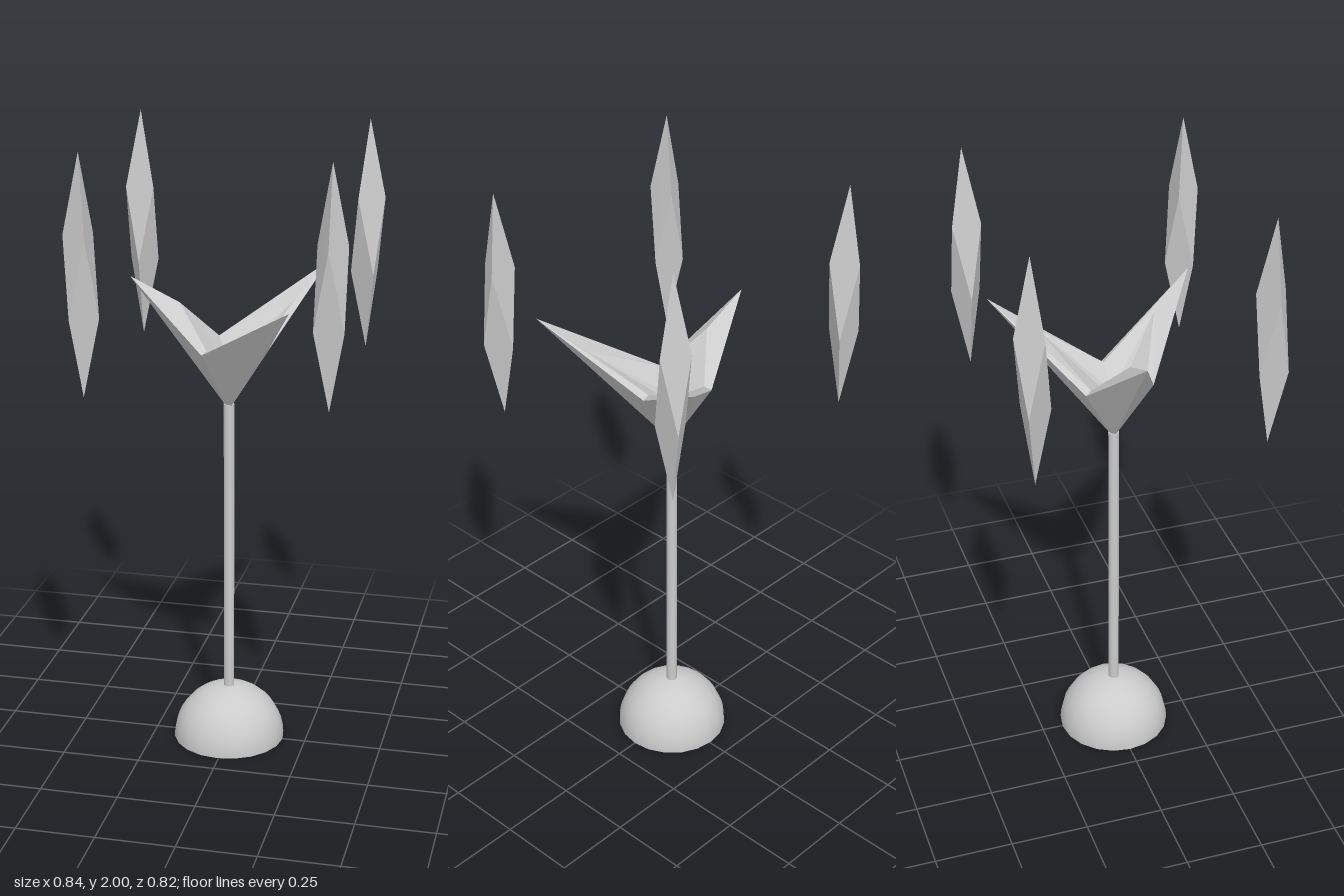
import * as THREE from 'three';

const CX = -0.005; // axis of base, stem and cup

const smooth = () => new THREE.MeshStandardMaterial({ color: 0xcccccc, side: THREE.DoubleSide });
const faceted = () => new THREE.MeshStandardMaterial({ color: 0xcccccc, flatShading: true, side: THREE.DoubleSide });

function add(parent, name, geometry, material) {
  const mesh = new THREE.Mesh(geometry, material);
  mesh.name = name;
  parent.add(mesh);
  return mesh;
}

// Unshared triangles from a list of corner triples
function facets(triangles) {
  const g = new THREE.BufferGeometry();
  g.setAttribute('position', new THREE.Float32BufferAttribute(triangles.flat(2), 3));
  g.computeVertexNormals();
  return g;
}

// Three-pointed cup: pointed arms, sloping rim and shallow bowl
function cupGeometry() {
  const tips = [[0.247, 1.545, -0.328], [-0.32, 1.545, 0], [0.247, 1.545, 0.328]];
  const innerTips = [[0.17, 1.455, -0.19], [-0.162, 1.47, 0], [0.17, 1.455, 0.19]];
  // Three points around the axis, on the notches between the arms
  const ring = (r, y) => [4, 8, 12].map((k) => {
    const a = (k * Math.PI) / 6;
    return [CX + r * Math.cos(a), y, -r * Math.sin(a)];
  });
  const notch = ring(0.125, 1.335), innerNotch = ring(0.102, 1.345), floor = ring(0.018, 1.29);
  const bottom = [CX, 1.13, 0];
  const tris = [[floor[0], floor[1], floor[2]]];
  for (let i = 0; i < 3; i++) {
    const p = (i + 2) % 3;
    const T = tips[i], t = innerTips[i];
    const A = notch[p], B = notch[i], a = innerNotch[p], b = innerNotch[i];
    tris.push(
      [A, bottom, T], [T, bottom, B],                             // outside of the arm
      [A, T, t], [A, t, a], [T, B, b], [T, b, t],                 // rim
      [t, b, floor[i]], [t, floor[i], floor[p]], [t, floor[p], a] // bowl
    );
  }
  return facets(tris);
}

// Long crystal: a cube stretched along its diagonal
function crystalGeometry() {
  const r = 0.053, h = 0.37, yr = 0.123;
  const top = [0, h, 0], base = [0, -h, 0];
  const corner = (k) => {
    const a = (k * Math.PI) / 3;
    return [r * Math.cos(a), k % 2 ? -yr : yr, -r * Math.sin(a)];
  };
  const tris = [];
  for (let k = 0; k < 6; k += 2) {
    const u = corner(k), l = corner(k + 1), u2 = corner(k + 2), l2 = corner(k + 3);
    tris.push([top, u, l], [top, l, u2], [base, u2, l], [base, l2, u2]);
  }
  return facets(tris);
}

export function createModel() {
  const model = new THREE.Group();
  model.name = 'standWithCrystals';

  // Hollow half-sphere foot
  add(model, 'domeBase', new THREE.SphereGeometry(0.181, 20, 10, 0, Math.PI * 2, 0, Math.PI / 2), smooth())
    .position.set(CX, 0, -0.001);

  add(model, 'stem', new THREE.CylinderGeometry(0.017, 0.017, 0.98, 16), smooth())
    .position.set(CX, 0.66, 0);

  add(model, 'pointedCup', cupGeometry(), faceted());

  // Four floating crystals, each a quarter turn from the next
  const crystals = new THREE.Group();
  crystals.name = 'crystals';
  const shape = crystalGeometry();
  [[0.368, -0.358], [-0.376, -0.36], [-0.367, 0.365], [0.373, 0.349]].forEach(([x, z], i) => {
    const c = add(crystals, 'crystal', shape, faceted());
    c.position.set(x, 1.63, z);
    c.rotation.y = (i * Math.PI) / 2;
  });
  model.add(crystals);

  return model;
}
